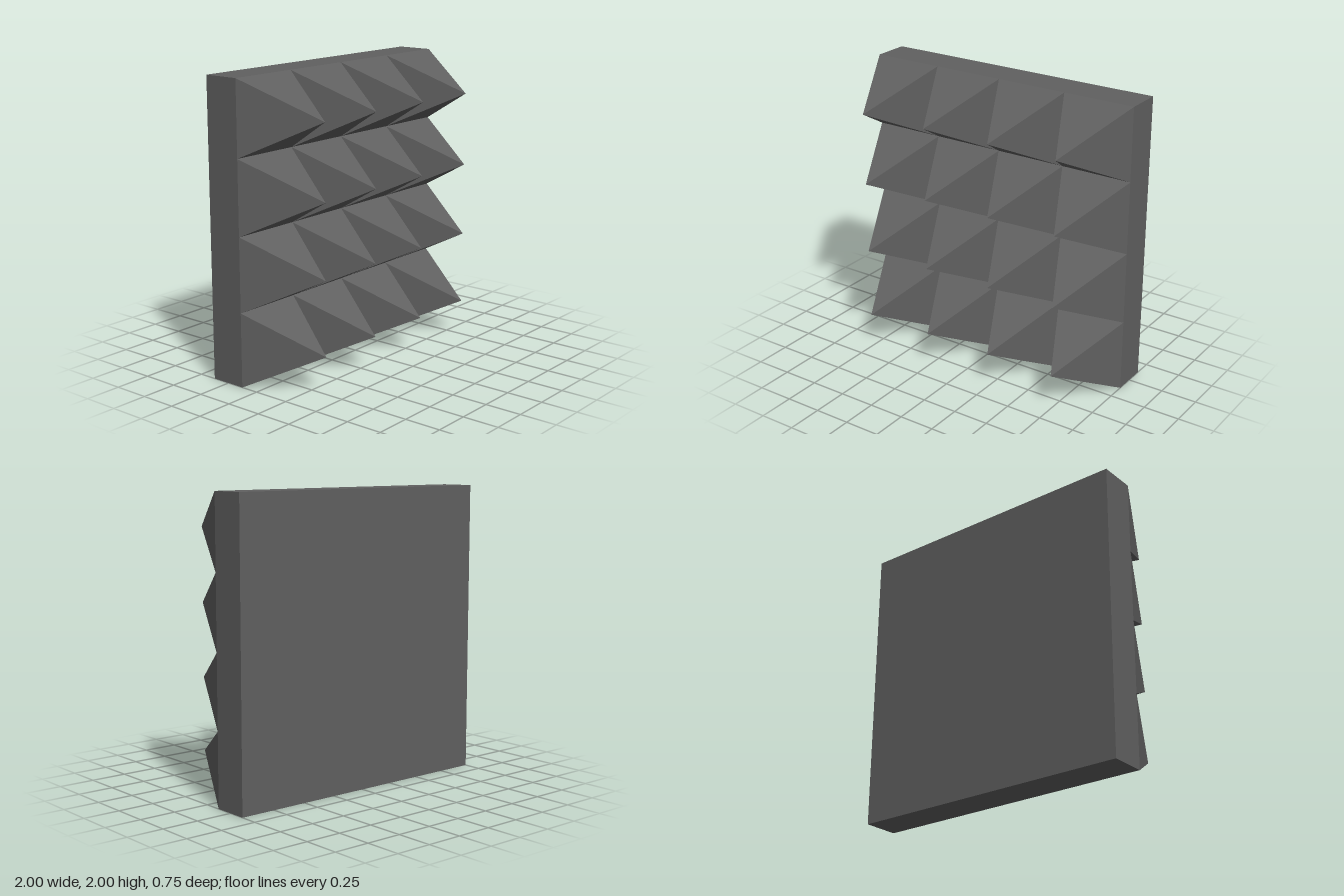
import * as THREE from 'three';

const SIZE = 2;        // panel width and height
const BASE = 0.25;     // backing thickness
const SPIKE = 0.5;     // pyramid depth
const COUNT = 4;       // pyramids per side
const CELL = SIZE / COUNT;

export function createModel() {
  const group = new THREE.Group();
  group.name = 'acousticFoamPanel';
  const material = new THREE.MeshStandardMaterial({ color: 0x606060, flatShading: true });
  const backZ = -(BASE + SPIKE) / 2;

  // Flat backing slab
  const backing = new THREE.Mesh(new THREE.BoxGeometry(SIZE, SIZE, BASE), material);
  backing.name = 'backing';
  backing.position.set(0, SIZE / 2, backZ + BASE / 2);
  group.add(backing);

  // Square pyramid pointing forward, its base edges aligned with the grid
  const pyramid = new THREE.ConeGeometry(CELL / Math.SQRT2, SPIKE, 4, 1, true, Math.PI / 4);
  pyramid.rotateX(Math.PI / 2);

  // Grid of pyramids covering the front
  const pyramids = new THREE.Group();
  pyramids.name = 'pyramids';
  for (let row = 0; row < COUNT; row++) {
    for (let col = 0; col < COUNT; col++) {
      const mesh = new THREE.Mesh(pyramid, material);
      mesh.name = `pyramid_${row + 1}_${col + 1}`;
      mesh.position.set((col + 0.5) * CELL - SIZE / 2, (row + 0.5) * CELL, backZ + BASE + SPIKE / 2);
      pyramids.add(mesh);
    }
  }
  group.add(pyramids);
  return group;
}
